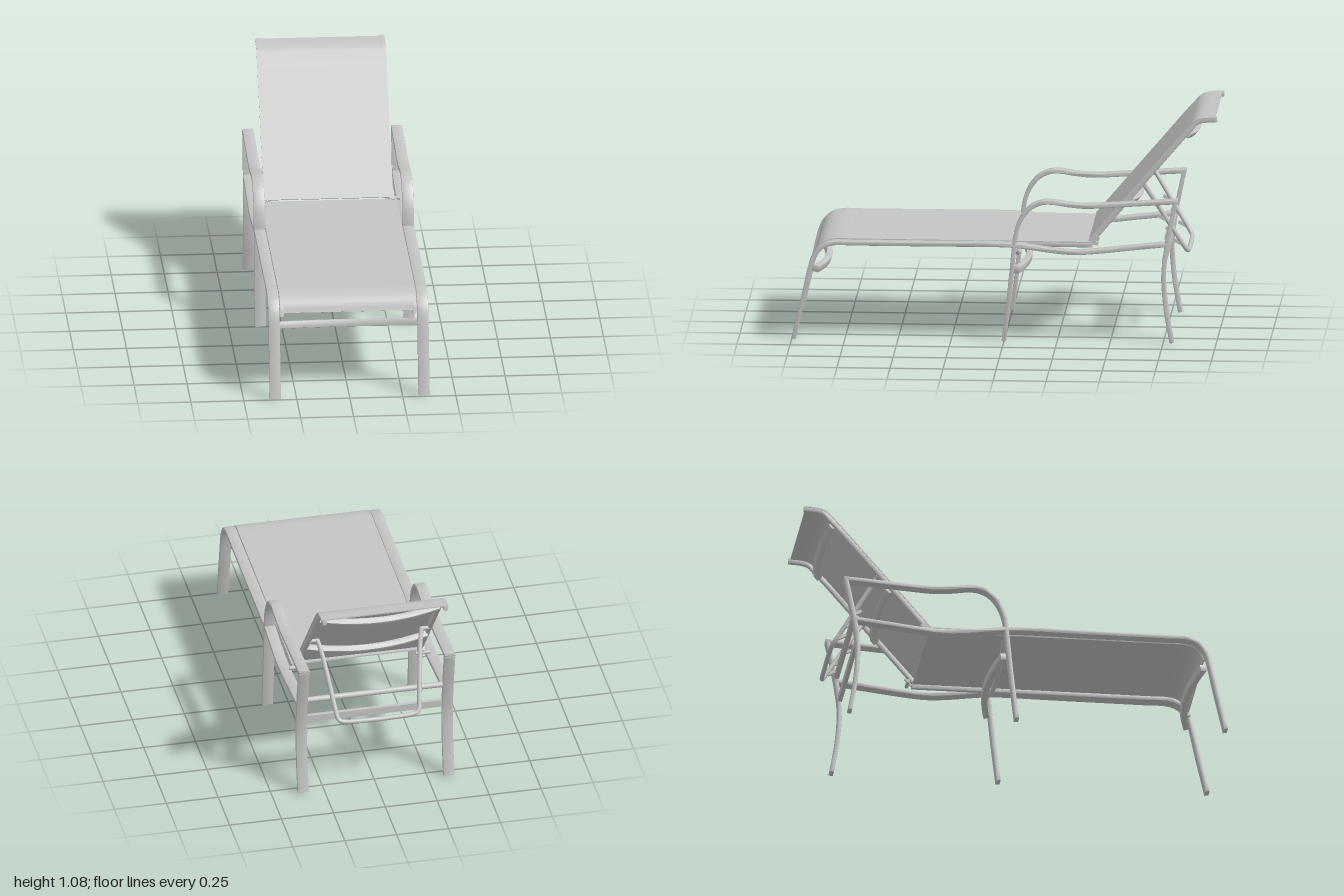
import * as THREE from 'three';
import { toCreasedNormals } from 'three/addons/utils/BufferGeometryUtils.js';

const metal = new THREE.MeshStandardMaterial({ color: 0xc4c4c4 });
metal.name = 'light grey';

// Smooth 2D curve through a few points
const smooth = (pts, n = 48) =>
  new THREE.CatmullRomCurve3(pts.map(([a, b]) => new THREE.Vector3(a, b, 0)), false, 'centripetal').getPoints(n);

// Flat strip: a 2D path thickened by t and extruded to the given depth, centred on it
function strip(path, t, depth, bevel = 0) {
  const h = t / 2 - bevel;
  const a = [], b = [];
  path.forEach((p, i) => {
    const q = path[Math.max(i - 1, 0)], r = path[Math.min(i + 1, path.length - 1)];
    const l = Math.hypot(r.x - q.x, r.y - q.y);
    const nx = -(r.y - q.y) / l * h, ny = (r.x - q.x) / l * h;
    a.push(new THREE.Vector2(p.x + nx, p.y + ny));
    b.unshift(new THREE.Vector2(p.x - nx, p.y - ny));
  });
  const d = depth - 2 * bevel;
  const geo = new THREE.ExtrudeGeometry(new THREE.Shape([...a, ...b]), {
    depth: d, bevelEnabled: bevel > 0, bevelSize: bevel, bevelThickness: bevel, bevelSegments: 2,
  });
  geo.translate(0, 0, -d / 2);
  return toCreasedNormals(geo, 0.6);
}

// Strip whose path lies in the side plane, given as [z, y] points
const sideStrip = (pts, t, width, bevel, n) =>
  strip(smooth(pts.map(([z, y]) => [-z, y]), n), t, width, bevel).rotateY(Math.PI / 2);

export function createModel() {
  const model = new THREE.Group();
  model.name = 'loungeChair';

  const add = (name, geo, x = 0, y = 0, z = 0) => {
    const mesh = new THREE.Mesh(geo, metal);
    mesh.name = name;
    mesh.position.set(x, y, z);
    model.add(mesh);
    return mesh;
  };
  const pair = (name, geo, x, y = 0, z = 0) => {
    add(name + 'Left', geo, x, y, z);
    add(name + 'Right', geo, -x, y, z);
  };

  // Side frames: front leg running into the long rail, arm with middle leg, rear leg
  const frameX = 0.351, barW = 0.053, barT = 0.02;
  pair('frontLegAndRail', sideStrip([[0.99, 0.005], [0.945, 0.2], [0.905, 0.375], [0.885, 0.415], [0.85, 0.448],
    [0.8, 0.463], [0.7, 0.463], [0.3, 0.463], [0, 0.463], [-0.08, 0.458], [-0.22, 0.439], [-0.33, 0.43],
    [-0.45, 0.438], [-0.6, 0.455], [-0.77, 0.474]], barT, barW, 0.004, 80), frameX);
  pair('armAndMiddleLeg', sideStrip([[0, 0.005], [-0.025, 0.22], [-0.045, 0.42], [-0.057, 0.52], [-0.08, 0.585],
    [-0.125, 0.642], [-0.18, 0.668], [-0.23, 0.67], [-0.3, 0.66], [-0.38, 0.653], [-0.5, 0.659],
    [-0.65, 0.669], [-0.815, 0.68]], barT, barW, 0.004, 70), frameX);
  pair('rearLeg', sideStrip([[-0.81, 0.682], [-0.785, 0.56], [-0.765, 0.45], [-0.752, 0.32], [-0.764, 0.16],
    [-0.79, 0.005]], barT, barW, 0.004), frameX);

  // Seat: inner rails and stretched fabric
  const seatPath = [[0.897, 0.388], [0.88, 0.425], [0.85, 0.452], [0.8, 0.466], [0.7, 0.466],
    [0.3, 0.465], [-0.1, 0.464], [-0.41, 0.463]];
  pair('seatRail', sideStrip(seatPath.map(([z, y]) => [z, y - 0.006]), 0.022, 0.02, 0.005), 0.314);
  add('seatFabric', sideStrip(seatPath.map(([z, y]) => [z, y + 0.007]), 0.006, 0.644));

  // Back: rails and fabric, rolled over at the top
  const backPath = [[-0.41, 0.475], [-0.56, 0.651], [-0.7, 0.815], [-0.84, 0.979], [-0.873, 1.015], [-0.9, 1.046],
    [-0.93, 1.058], [-0.995, 1.064]];
  pair('backRail', sideStrip(backPath, 0.026, 0.022, 0.006), 0.292);
  add('backFabric', sideStrip(backPath.map(([z, y], i) =>
    i < 5 ? [z + 0.009, y + 0.008] : [z + 0.003, y + 0.009]), 0.006, 0.61));

  // Bowed cross bars; (dy, dz) is the direction of the bow
  const crossBar = (name, half, y, z, dy, dz, bow, depth, height) => {
    const pts = [];
    for (let i = 0; i <= 20; i++) {
      const x = (i / 10 - 1) * half;
      pts.push(new THREE.Vector2(x, bow * (1 - (x / half) ** 2)));
    }
    add(name, strip(pts, depth, height, 0.004), 0, y, z).rotation.x = Math.atan2(dz, dy);
  };
  crossBar('frontCrossBar', 0.328, 0.332, 0.888, -0.25, -0.97, 0.043, 0.03, 0.034);
  crossBar('middleCrossBar', 0.328, 0.337, -0.058, -0.11, -0.99, 0.04, 0.03, 0.034);
  crossBar('upperBackBar', 0.284, 0.99, -0.862, -0.64, -0.77, 0.034, 0.03, 0.032);
  crossBar('lowerBackBar', 0.284, 0.672, -0.594, -0.64, -0.77, 0.034, 0.03, 0.032);
  add('rearUpperBar', new THREE.CylinderGeometry(0.014, 0.014, 0.66, 16).rotateZ(Math.PI / 2), 0, 0.495, -0.768);
  add('rearLowerBar', new THREE.BoxGeometry(0.66, 0.035, 0.018), 0, 0.383, -0.752);

  // Sagging tube under the seat
  const sag = [];
  for (let i = -5; i <= 5; i++) sag.push(new THREE.Vector3(i * 0.063, 0.367 + 0.066 * (i / 5) ** 2, -0.052));
  add('seatSupportTube', new THREE.TubeGeometry(new THREE.CatmullRomCurve3(sag), 40, 0.012, 10));

  // U-shaped prop behind the back
  const right = [[0.25, 0.745, -0.65], [0.235, 0.68, -0.69], [0.205, 0.48, -0.812], [0.197, 0.43, -0.843],
    [0.187, 0.413, -0.853], [0.165, 0.407, -0.857]];
  const prop = [...right, ...right.slice().reverse().map(([x, y, z]) => [-x, y, z])];
  add('backProp', new THREE.TubeGeometry(
    new THREE.CatmullRomCurve3(prop.map(p => new THREE.Vector3(...p)), false, 'centripetal'), 100, 0.011, 10));

  // Pivots at the prop's top, notched catches along it, and hinge brackets of the back
  pair('propPivot', new THREE.CylinderGeometry(0.009, 0.009, 0.05, 12).rotateZ(Math.PI / 2), 0.268, 0.742, -0.648);
  const catchGeo = new THREE.BoxGeometry(0.012, 0.016, 0.04).rotateX(-0.5);
  [[0.222, 0.575, -0.735], [0.212, 0.515, -0.772], [0.203, 0.455, -0.808]].forEach(([x, y, z], i) =>
    pair('propCatch' + (i + 1), catchGeo, x, y, z));
  pair('hingeBracket', new THREE.BoxGeometry(0.014, 0.045, 0.035).rotateX(-0.7), 0.303, 0.482, -0.422);
  pair('hingePin', new THREE.CylinderGeometry(0.009, 0.009, 0.07, 12).rotateZ(Math.PI / 2), 0.305, 0.468, -0.435);

  return model;
}
